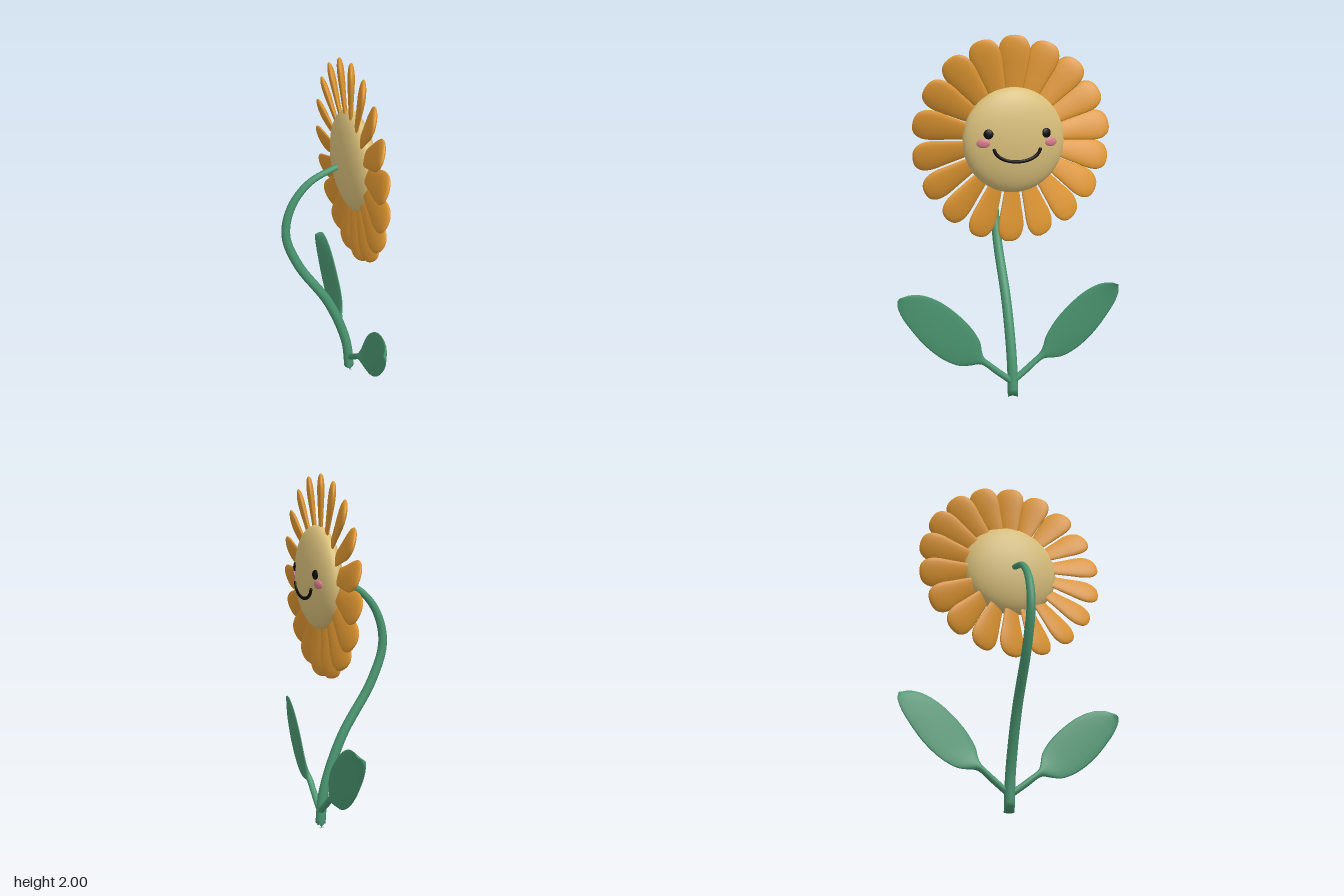
import * as THREE from 'three';

const V = (x, y, z) => new THREE.Vector3(x, y, z);
const paint = (color) => new THREE.MeshStandardMaterial({ color });
const green = paint(0x4a9670), orange = paint(0xdf9631), straw = paint(0xd9bf7a);
const black = paint(0x0c0c0c), pink = paint(0xd97f8c);
const HEAD = V(0.158, 1.447, -0.004);
const DISC = { thick: 0.093, radius: 0.282 };

function mesh(name, geometry, material) {
  const m = new THREE.Mesh(geometry, material);
  m.name = name;
  return m;
}

// Skin elliptical rings {c, a, b}: centre and two half axes, with a x b along the path
function loft(rings, sides = 16) {
  const pos = [], idx = [];
  for (const { c, a, b } of rings) {
    for (let j = 0; j < sides; j++) {
      const t = (j / sides) * Math.PI * 2;
      const p = c.clone().addScaledVector(a, Math.cos(t)).addScaledVector(b, Math.sin(t));
      pos.push(p.x, p.y, p.z);
    }
  }
  for (let i = 0; i < rings.length - 1; i++) {
    for (let j = 0; j < sides; j++) {
      const k = (j + 1) % sides, r = i * sides, s = r + sides;
      idx.push(r + j, r + k, s + j, r + k, s + k, s + j);
    }
  }
  const g = new THREE.BufferGeometry();
  g.setAttribute('position', new THREE.Float32BufferAttribute(pos, 3));
  g.setIndex(idx);
  g.computeVertexNormals();
  return g;
}

const spline = (pts) => new THREE.CatmullRomCurve3(pts.map((p) => V(p[0], p[1], p[2] ?? 0)));

// Curved stem, tapering towards the head
function makeStem() {
  const path = spline([[0.155, 0], [0.13, 0.22], [0.02, 0.53], [-0.16, 0.835], [-0.228, 1.05],
    [-0.19, 1.23], [-0.085, 1.36], [0.1, 1.44]]);
  const rings = [];
  for (let i = 0; i <= 60; i++) {
    const t = i / 60, r = 0.029 - 0.013 * t * t;
    const c = path.getPoint(t), d = path.getTangent(t);
    c.z = -0.004;
    const a = V(0, 0, 1).cross(d).multiplyScalar(r);
    if (i === 0) { a.set(r, 0, 0); }
    rings.push({ c, a, b: V(0, 0, r) });
  }
  const g = new THREE.Group();
  g.name = 'stem';
  const cap = mesh('stemBase', new THREE.CircleGeometry(0.029, 16), green);
  cap.rotation.x = Math.PI / 2;
  cap.position.set(0.155, 0.0005, -0.004);
  g.add(mesh('stemTube', loft(rings), green), cap);
  return g;
}

// Leaf with stalk, swept between an upper and a lower edge given as (z, y)
function makeLeaf(side) {
  const upper = spline([[0, 0.115], [0.1, 0.195], [0.163, 0.25], [0.178, 0.29], [0.19, 0.345],
    [0.24, 0.43], [0.32, 0.515], [0.41, 0.585], [0.5, 0.625], [0.57, 0.63], [0.61, 0.618]]);
  const lower = spline([[0, 0.07], [0.1, 0.148], [0.18, 0.21], [0.24, 0.21], [0.3, 0.213],
    [0.39, 0.255], [0.49, 0.34], [0.57, 0.44], [0.615, 0.51], [0.635, 0.565], [0.632, 0.595]]);
  const n = 40, rings = [];
  for (let i = 0; i <= n; i++) {
    const t = i / n, u = upper.getPoint(t), l = lower.getPoint(t);
    const blade = THREE.MathUtils.smoothstep(t, 0.15, 0.5);
    const lean = side > 0 ? 0.022 - 0.045 * t * t : 0.006;
    const c = V(0.153 + lean * blade, (u.y + l.y) / 2, side * (u.x + l.x) / 2);
    const tilt = side > 0 ? 0.01 : 0.018;
    const a = V(tilt * blade, (u.y - l.y) / 2, side * (u.x - l.x) / 2);
    rings.push({ c, a, b: V(-side * THREE.MathUtils.lerp(0.018, 0.008, blade), 0, 0) });
  }
  // rounded tip
  const last = rings[n];
  rings.push({ c: last.c.clone().add(V(0, 0.004, side * 0.004)), a: last.a.clone().multiplyScalar(0.01), b: last.b.clone().multiplyScalar(0.01) });
  return mesh(side > 0 ? 'frontLeaf' : 'backLeaf', loft(rings), green);
}

// Petal along +y: narrow root, full rounded tip
function petalGeometry() {
  const profile = spline([[0.2, 0.03], [0.28, 0.05], [0.37, 0.068], [0.45, 0.083], [0.5, 0.08],
    [0.535, 0.06], [0.55, 0.034], [0.555, 0.001]]);
  const rings = [];
  for (let i = 0; i <= 28; i++) {
    const p = profile.getPoint(i / 28);
    const w = Math.max(p.y, 0.0005);
    rings.push({ c: V(0, p.x, 0), a: V(0, 0, w), b: V(w * 0.23, 0, 0) });
  }
  return loft(rings);
}

// Point on the front of the head disc
function onFace(y, z, lift = 0) {
  const r2 = (y * y + z * z) / DISC.radius ** 2;
  return V(DISC.thick * Math.sqrt(1 - r2) + lift, y, z);
}

function makeHead() {
  const head = new THREE.Group();
  head.name = 'flowerHead';
  head.position.copy(HEAD);

  const disc = mesh('disc', new THREE.SphereGeometry(1, 48, 32), straw);
  disc.scale.set(DISC.thick, DISC.radius, DISC.radius);
  head.add(disc);

  // Ring of petals, each twisted a little like a pinwheel
  const petals = new THREE.Group();
  petals.name = 'petals';
  petals.position.x = -0.015;
  const geo = petalGeometry(), count = 18;
  for (let i = 0; i < count; i++) {
    const petal = mesh('petal', geo, orange);
    petal.rotation.set((i / count) * Math.PI * 2 - 0.02, -0.33, 0);
    petals.add(petal);
  }
  head.add(petals);

  // Eyes and cheeks, laid flat against the disc
  const ball = new THREE.SphereGeometry(1, 24, 16);
  const spot = (name, material, y, z, h, w) => {
    const m = mesh(name, ball, material);
    m.position.copy(onFace(y, z));
    const n = V(m.position.x / DISC.thick ** 2, y / DISC.radius ** 2, z / DISC.radius ** 2).normalize();
    m.quaternion.setFromUnitVectors(V(1, 0, 0), n);
    m.scale.set(0.01, h, w);
    head.add(m);
  };
  for (const s of [-1, 1]) {
    spot('eye', black, 0.041, s * 0.16, 0.026, 0.026);
    spot('cheek', pink, -0.007, s * 0.187, 0.024, 0.036);
  }

  // Smile following the curve of the disc
  const smile = [];
  for (let i = 0; i <= 12; i++) {
    const t = i / 6 - 1;
    smile.push(onFace(-0.107 + 0.064 * t * t, 0.004 + 0.127 * Math.sin(t * 1.35) / Math.sin(1.35), 0.003));
  }
  const curve = new THREE.CatmullRomCurve3(smile);
  head.add(mesh('smile', new THREE.TubeGeometry(curve, 40, 0.009, 10), black));
  for (const p of [smile[0], smile[12]]) {
    const end = mesh('smileEnd', ball, black);
    end.position.copy(p);
    end.scale.setScalar(0.009);
    head.add(end);
  }
  return head;
}

export function createModel() {
  const flower = new THREE.Group();
  flower.name = 'flower';
  flower.add(makeStem(), makeLeaf(1), makeLeaf(-1), makeHead());
  return flower;
}
